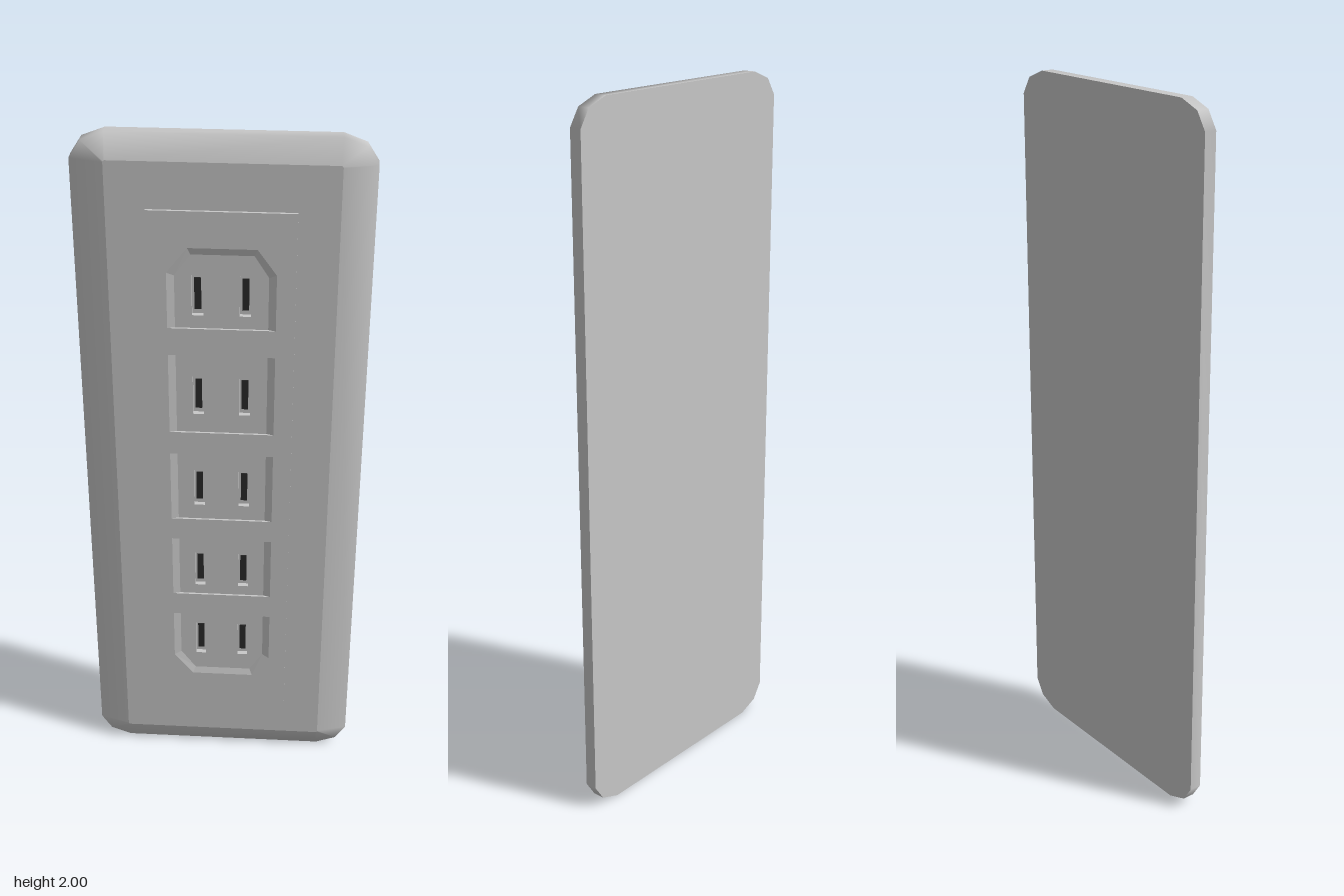
import * as THREE from 'three';

const shell = new THREE.MeshStandardMaterial({ color: 0xc8c8c8 });
shell.name = 'light grey plastic';
const dark = new THREE.MeshStandardMaterial({ color: 0x2a2a2a });
dark.name = 'dark slot';

const toShape = (pts) => new THREE.Shape(pts.map(([x, y]) => new THREE.Vector2(x, y)));
const rect = (x0, x1, y0, y1) => [[x0, y0], [x1, y0], [x1, y1], [x0, y1]];

// Wall joining counter-clockwise rings given as { pts, z }
function loft(rings, smooth) {
  const n = rings[0].pts.length;
  const pos = [], index = [];
  rings.forEach(({ pts, z }) => pts.forEach(([x, y]) => pos.push(x, y, z)));
  for (let r = 0; r < rings.length - 1; r++) {
    for (let i = 0; i < n; i++) {
      const j = (i + 1) % n;
      const a = r * n + i, b = r * n + j, c = a + n, d = b + n;
      index.push(a, b, d, a, d, c);
    }
  }
  let geo = new THREE.BufferGeometry();
  geo.setAttribute('position', new THREE.Float32BufferAttribute(pos, 3));
  geo.setIndex(index);
  if (!smooth) geo = geo.toNonIndexed();
  geo.computeVertexNormals();
  return geo;
}

// Mirror one top-right corner (right to left) into a full counter-clockwise ring about y = 1
function ringFromCorner(corner) {
  const flip = (sx, sy) => corner.map(([x, y]) => [sx * x, 1 + sy * (y - 1)]);
  return [...flip(1, 1), ...flip(-1, 1).reverse(), ...flip(-1, -1), ...flip(1, -1).reverse()];
}

export function createModel() {
  const group = new THREE.Group();
  const add = (name, geo, mat = shell, x = 0, y = 0, z = 0) => {
    const mesh = new THREE.Mesh(geo, mat);
    mesh.name = name;
    mesh.position.set(x, y, z);
    group.add(mesh);
    return mesh;
  };
  const extrude = (shape, depth) =>
    new THREE.ExtrudeGeometry(shape, { depth, bevelEnabled: false });

  // Cover plate: straight rim, shallow bevel, flat front and back
  const outer = ringFromCorner([[0.385, 1.93], [0.355, 1.977], [0.295, 2]]);
  const inner = ringFromCorner([[0.297, 1.93], [0.296, 1.934], [0.292, 1.936]]);
  add('plateRim', loft([
    { pts: outer, z: -0.035 }, { pts: outer, z: 0 }, { pts: inner, z: 0.025 },
  ], true));
  const front = toShape(inner);
  front.holes.push(toShape(rect(-0.17, 0.17, 0.25, 1.76)));
  add('plateFront', new THREE.ShapeGeometry(front), shell, 0, 0, 0.025);
  add('plateBack', new THREE.ShapeGeometry(toShape(outer)), shell, 0, 0, -0.035).rotation.y = Math.PI;

  // Socket recesses: outline on the panel face and the narrower floor
  const L = -0.145, R = 0.14, s = 0.02;
  const end = [[L, 1.48], [R, 1.48], [R, 1.64], [0.09, 1.71], [-0.09, 1.71], [L, 1.64]];
  const endFloor = [[L + s, 1.48], [R - s, 1.48], [R - s, 1.63], [0.082, 1.69], [-0.082, 1.69], [L + s, 1.63]];
  const upsideDown = (pts) => pts.map(([x, y]) => [x, 2.01 - y - 0.005]).reverse();
  const sockets = [
    { y: 1.575, top: end, floor: endFloor },
    ...[[1.275, 1.16, 1.4], [0.975, 0.87, 1.09], [0.69, 0.6, 0.8]].map(([y, y0, y1]) => ({
      y, top: rect(L, R, y0, y1), floor: rect(L + s, R - s, y0, y1),
    })),
    { y: 0.43, top: upsideDown(end), floor: upsideDown(endFloor) },
  ];

  // Raised centre panel with an opening for each recess
  const panel = toShape(rect(-0.195, 0.19, 0.195, 1.81));
  sockets.forEach(({ top }) => panel.holes.push(toShape(top)));
  add('socketPanel', extrude(panel, 0.012), shell, 0, 0, 0.02);

  sockets.forEach(({ y, top, floor }) => {
    add('recessWall', loft([{ pts: top, z: 0.032 }, { pts: floor, z: 0.026 }], false));

    // Recess floor pierced by two blade slots
    const face = toShape(floor);
    const slotX = [-0.065, 0.06];
    slotX.forEach((x) =>
      face.holes.push(toShape(rect(x - 0.015, x + 0.015, y - 0.058, y + 0.058))));
    add('recessFloor', extrude(face, 0.016), shell, 0, 0, 0.01);
    slotX.forEach((x) => {
      add('slotBottom', new THREE.BoxGeometry(0.036, 0.122, 0.004), shell, x, y, 0.01);
      add('slotOpening', new THREE.BoxGeometry(0.018, 0.09, 0.004), dark, x, y, 0.013);
    });
  });

  return group;
}
